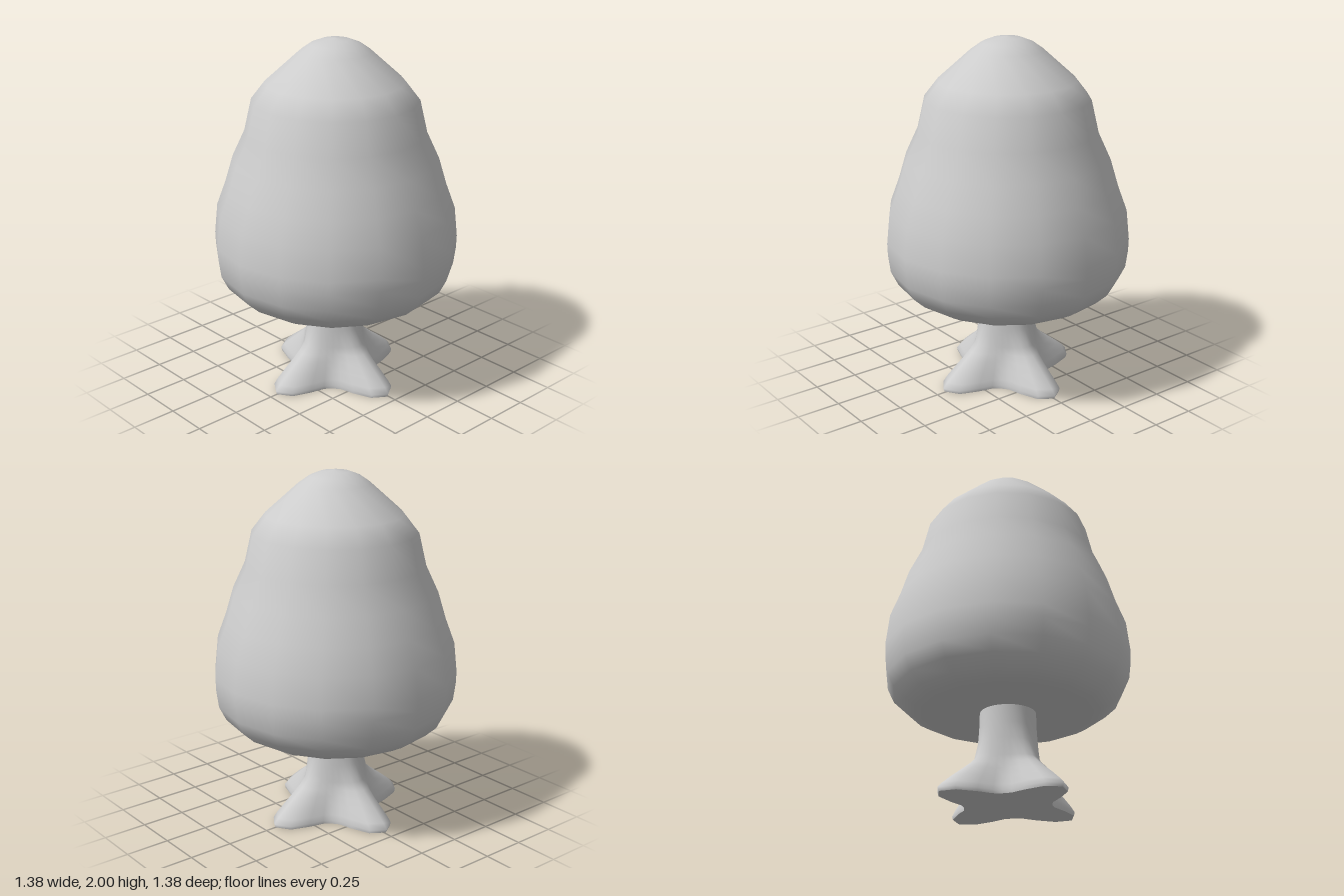
import * as THREE from 'three';
import { mergeVertices } from 'three/addons/utils/BufferGeometryUtils.js';

const SIDES = 32;

// Trunk profile: height, radius along a root, radius between roots
const TRUNK = [
  [0, 0.445, 0.235], [0.02, 0.453, 0.235], [0.05, 0.425, 0.225], [0.1, 0.365, 0.205],
  [0.15, 0.3, 0.19], [0.19, 0.25, 0.18], [0.23, 0.208, 0.172], [0.33, 0.174, 0.163],
  [0.42, 0.16, 0.157], [0.54, 0.154, 0.154],
];

// Four roots, pointing along the x and z axes
function trunkRadius(angle, root, valley) {
  return valley + (root - valley) * Math.pow((1 + Math.cos(4 * angle)) / 2, 1.5);
}

function makeTrunk() {
  const g = new THREE.LatheGeometry(TRUNK.map(([y, r]) => new THREE.Vector2(r, y)), SIDES);
  const p = g.attributes.position;
  for (let i = 0; i < p.count; i++) {
    const [y, root, valley] = TRUNK[i % TRUNK.length];
    const a = Math.atan2(p.getX(i), p.getZ(i));
    const r = trunkRadius(a, root, valley);
    p.setXYZ(i, Math.sin(a) * r, y, Math.cos(a) * r);
  }
  // Weld the seam so the bark shades smoothly all round
  g.deleteAttribute('uv');
  g.deleteAttribute('normal');
  const welded = mergeVertices(g, 1e-4);
  welded.computeVertexNormals();
  return welded;
}

function makeRootBase() {
  const g = new THREE.CircleGeometry(1, SIDES);
  g.rotateX(Math.PI / 2);
  const p = g.attributes.position;
  for (let i = 1; i < p.count; i++) {
    const a = Math.atan2(p.getX(i), p.getZ(i));
    const r = trunkRadius(a, TRUNK[0][1], TRUNK[0][2]);
    p.setXYZ(i, Math.sin(a) * r, 0, Math.cos(a) * r);
  }
  return g;
}

export function createModel() {
  const model = new THREE.Group();
  model.name = 'tree';
  const grey = new THREE.MeshStandardMaterial({ color: 0xcccccc });
  grey.name = 'light grey';

  function add(name, geometry, x = 0) {
    const mesh = new THREE.Mesh(geometry, grey);
    mesh.name = name;
    mesh.position.x = x;
    model.add(mesh);
  }

  // Foliage: sixteen-sided crown with soft tiers and a flat underside
  const crown = [
    [0, 0.52], [0.5, 0.52], [0.57, 0.56], [0.635, 0.62], [0.675, 0.7], [0.688, 0.8],
    [0.69, 0.87], [0.672, 1.04], [0.62, 1.18], [0.575, 1.33], [0.505, 1.48], [0.463, 1.66],
    [0.385, 1.76], [0.2, 1.925], [0.14, 1.967], [0.08, 1.99], [0, 2],
  ].map(([r, y]) => new THREE.Vector2(r, y));
  add('crown', new THREE.LatheGeometry(crown, 16));

  // Trunk flaring into four roots
  add('trunk', makeTrunk(), -0.008);
  add('rootBase', makeRootBase(), -0.008);

  return model;
}
